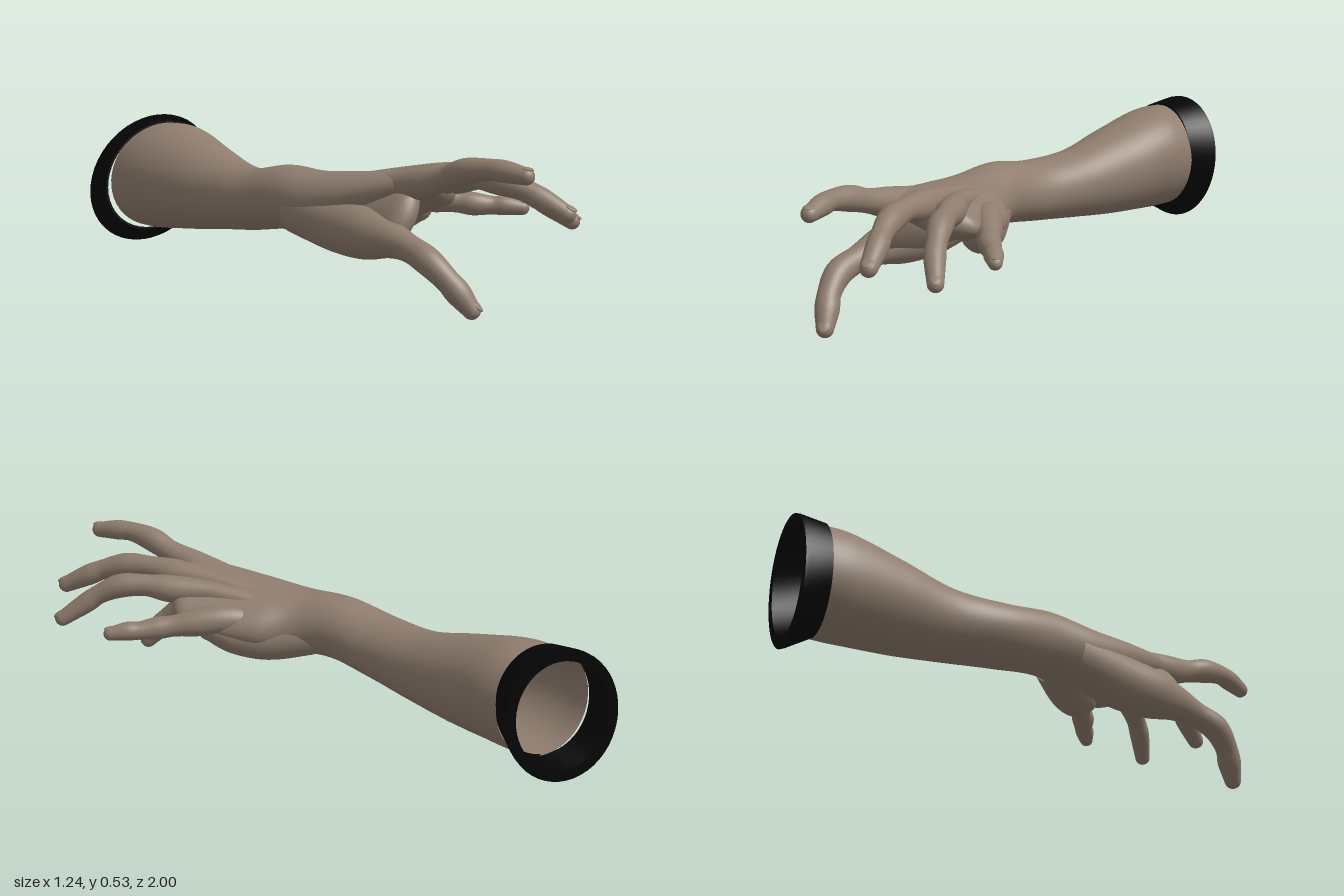
import * as THREE from 'three';
import { toCreasedNormals } from 'three/addons/utils/BufferGeometryUtils.js';

const V = (x, y, z) => new THREE.Vector3(x, y, z);
const UP = V(0, 1, 0);

// Smooth skin through frames { p, side, up }, where side and up are scaled half-axes
function loft(frames, sides = 28) {
  const pos = [], index = [];
  for (const { p, side, up } of frames) {
    for (let j = 0; j < sides; j++) {
      const a = (j / sides) * Math.PI * 2;
      const q = p.clone().addScaledVector(side, Math.cos(a)).addScaledVector(up, Math.sin(a));
      pos.push(q.x, q.y, q.z);
    }
  }
  for (let i = 0; i < frames.length - 1; i++) {
    for (let j = 0; j < sides; j++) {
      const k = (j + 1) % sides;
      const a = i * sides + j, b = i * sides + k, c = a + sides, d = b + sides;
      index.push(a, b, c, b, d, c);
    }
  }
  const g = new THREE.BufferGeometry();
  g.setAttribute('position', new THREE.Float32BufferAttribute(pos, 3));
  g.setIndex(index);
  g.computeVertexNormals();
  return g;
}

// Rounded end: shrinking copies of a frame pushed along dir
function cap(frame, dir, length) {
  const out = [];
  for (let i = 1; i <= 6; i++) {
    const a = (i / 6) * Math.PI / 2, s = Math.max(Math.cos(a), 0.001);
    out.push({
      p: frame.p.clone().addScaledVector(dir, Math.sin(a) * length),
      side: frame.side.clone().multiplyScalar(s),
      up: frame.up.clone().multiplyScalar(s),
    });
  }
  return out;
}

// Rows of [x, y, z, radius]: a round limb following a curve
function limbFrames(rows) {
  const path = new THREE.CatmullRomCurve3(rows.map((r) => V(r[0], r[1], r[2])));
  const size = new THREE.CatmullRomCurve3(rows.map((r, i) => V(r[3], i * 0.05, 0)));
  const n = (rows.length - 1) * 6, frames = [];
  let dir;
  for (let i = 0; i <= n; i++) {
    const t = i / n, r = size.getPoint(t).x;
    dir = path.getTangent(t);
    const side = V().crossVectors(UP, dir).normalize();
    const up = V().crossVectors(dir, side);
    frames.push({ p: path.getPoint(t), side: side.multiplyScalar(r), up: up.multiplyScalar(r) });
  }
  return { frames, dir, radius: rows[rows.length - 1][3] };
}

// Rows of [x, y, z, half width, half height, yaw, roll]
function bodyFrames(rows) {
  const curve = (f) => new THREE.CatmullRomCurve3(rows.map(f));
  const path = curve((r) => V(r[0], r[1], r[2]));
  const size = curve((r, i) => V(r[3], r[4], i * 0.1));
  const turn = curve((r, i) => V(r[5], r[6], i * 0.1));
  const n = (rows.length - 1) * 8, frames = [];
  for (let i = 0; i <= n; i++) {
    const s = size.getPoint(i / n), t = turn.getPoint(i / n);
    const side = V(Math.cos(t.x) * Math.cos(t.y), Math.sin(t.y), -Math.sin(t.x) * Math.cos(t.y));
    const up = V().crossVectors(V(Math.sin(t.x), 0, Math.cos(t.x)), side).normalize();
    frames.push({ p: path.getPoint(i / n), side: side.multiplyScalar(s.x), up: up.multiplyScalar(s.y) });
  }
  return frames;
}

// Each digit starts inside the hand so that its bone shows on the back of it
const digits = {
  thumb: [[-0.165, 0.285, 0.08, 0.09], [-0.092, 0.25, 0.3, 0.097], [-0.056, 0.24, 0.44, 0.09],
    [-0.022, 0.233, 0.56, 0.063], [0.005, 0.215, 0.65, 0.047], [0.03, 0.185, 0.74, 0.048],
    [0.07, 0.13, 0.8, 0.041], [0.1, 0.088, 0.825, 0.043], [0.135, 0.034, 0.853, 0.031]],
  indexFinger: [[-0.04, 0.37, 0.25, 0.04], [0.03, 0.4, 0.45, 0.048], [0.085, 0.42, 0.57, 0.054],
    [0.13, 0.452, 0.68, 0.042], [0.155, 0.477, 0.76, 0.045], [0.195, 0.492, 0.85, 0.036],
    [0.225, 0.49, 0.9, 0.037], [0.268, 0.48, 0.968, 0.029]],
  middleFinger: [[0.02, 0.385, 0.25, 0.04], [0.12, 0.415, 0.4, 0.043], [0.2, 0.427, 0.52, 0.053],
    [0.26, 0.438, 0.61, 0.041], [0.31, 0.43, 0.69, 0.046], [0.37, 0.405, 0.76, 0.037],
    [0.41, 0.38, 0.8, 0.039], [0.473, 0.333, 0.868, 0.03]],
  ringFinger: [[0.06, 0.38, 0.22, 0.035], [0.17, 0.403, 0.35, 0.042], [0.27, 0.408, 0.44, 0.05],
    [0.34, 0.418, 0.5, 0.04], [0.41, 0.41, 0.565, 0.044], [0.47, 0.375, 0.615, 0.036],
    [0.51, 0.34, 0.645, 0.037], [0.588, 0.28, 0.69, 0.028]],
  littleFinger: [[0.06, 0.325, 0.17, 0.04], [0.17, 0.335, 0.235, 0.052], [0.26, 0.325, 0.285, 0.05],
    [0.33, 0.315, 0.325, 0.039], [0.38, 0.308, 0.355, 0.041], [0.44, 0.303, 0.38, 0.033],
    [0.48, 0.302, 0.402, 0.034], [0.533, 0.295, 0.43, 0.025]],
};

export function createModel() {
  const group = new THREE.Group();
  const skin = new THREE.MeshStandardMaterial({ color: 0x8f7d6e, side: THREE.DoubleSide });
  skin.name = 'skin';
  const black = new THREE.MeshStandardMaterial({ color: 0x050505 });
  black.name = 'black';
  const add = (name, geometry, material = skin) => {
    const mesh = new THREE.Mesh(geometry, material);
    mesh.name = name;
    group.add(mesh);
    return mesh;
  };

  // Forearm, wrist and palm in one skin, open at the elbow end
  const body = bodyFrames([
    [-0.362, 0.302, -0.91, 0.213, 0.188, 0, 0.785],
    [-0.338, 0.304, -0.8, 0.211, 0.186, 0, 0.785],
    [-0.293, 0.29, -0.6, 0.173, 0.162, 0, 0.6],
    [-0.25, 0.278, -0.4, 0.14, 0.128, 0, 0.3],
    [-0.222, 0.285, -0.2, 0.128, 0.113, 0.1, 0],
    [-0.165, 0.313, -0.02, 0.118, 0.115, 0.25, 0],
    [-0.1, 0.31, 0.12, 0.138, 0.11, 0.5, -0.1],
    [0, 0.325, 0.24, 0.178, 0.1, 0.75, -0.23],
    [0.11, 0.355, 0.37, 0.188, 0.08, 0.85, -0.3],
    [0.185, 0.382, 0.452, 0.168, 0.057, 0.85, -0.3],
  ]);
  add('forearmAndPalm', loft([...body, ...cap(body.at(-1), V(0.75, 0, 0.66), 0.06)], 48));

  // Web of flesh joining the thumb to the palm
  const web = bodyFrames([
    [-0.06, 0.305, 0.2, 0.11, 0.09, 0.3, 1.05],
    [0, 0.3, 0.4, 0.117, 0.075, 0.3, 1.05],
    [0.022, 0.307, 0.53, 0.112, 0.052, 0.3, 1.05],
  ]);
  add('thumbWeb', loft([...web, ...cap(web.at(-1), V(0.3, 0, 0.95), 0.06)]));

  // Fleshy heel of the hand below the little finger
  const heel = limbFrames([[-0.09, 0.28, 0.05, 0.075], [0.03, 0.26, 0.16, 0.085],
    [0.13, 0.272, 0.23, 0.074], [0.2, 0.298, 0.28, 0.053]]);
  add('heelOfHand', loft([...heel.frames, ...cap(heel.frames.at(-1), heel.dir, heel.radius)]));

  // Digits with raised nails
  for (const [name, rows] of Object.entries(digits)) {
    const { frames, dir, radius } = limbFrames(rows);
    const tip = frames.at(-1);
    add(name, loft([...frames, ...cap(tip, dir, radius)]));
    const nail = add(name + 'Nail', new THREE.SphereGeometry(1, 16, 10));
    nail.quaternion.setFromRotationMatrix(new THREE.Matrix4().makeBasis(
      tip.side.clone().normalize(), tip.up.clone().normalize(), dir));
    nail.scale.set(radius * 0.65, radius * 0.2, radius * 0.85);
    nail.position.copy(tip.p).addScaledVector(tip.up, 0.84);
  }

  // Flared cuff: a wedge-shaped ring, sheared into a leaning oval
  const profile = [[0.203, 0], [0.247, 0], [0.245, 0.012], [0.211, 0.1], [0.203, 0.1], [0.203, 0]];
  const ring = new THREE.LatheGeometry(profile.map(([r, h]) => new THREE.Vector2(r, h)), 48);
  ring.rotateX(Math.PI / 2);
  const lean = 0.2;
  ring.applyMatrix4(new THREE.Matrix4().set(
    1, 0, 0, -0.375,
    lean, Math.sqrt(1 - lean * lean), 0.2, 0.28,
    0, 0, 1, -1,
    0, 0, 0, 1));
  add('cuff', toCreasedNormals(ring, 0.5), black);

  return group;
}
